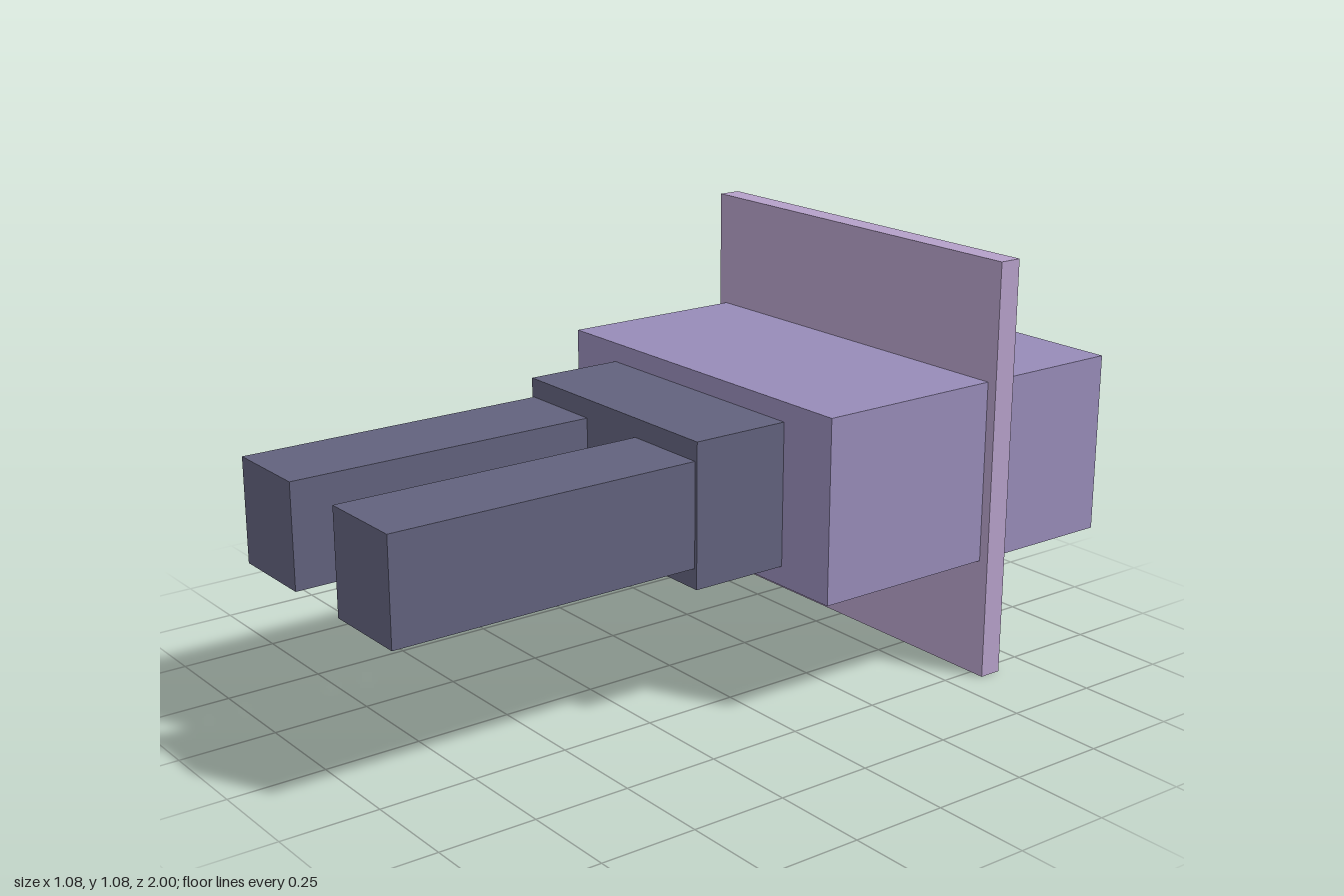
import * as THREE from 'three';

const lavender = new THREE.MeshStandardMaterial({ name: 'lavender', color: 0x978bb8 });
const lilac = new THREE.MeshStandardMaterial({ name: 'lilac', color: 0xb5a0c9 });
const slate = new THREE.MeshStandardMaterial({ name: 'slate', color: 0x62627d });

// Box given by its lower and upper corners
function block(name, material, [x0, y0, z0], [x1, y1, z1]) {
  const mesh = new THREE.Mesh(new THREE.BoxGeometry(x1 - x0, y1 - y0, z1 - z0), material);
  mesh.position.set((x0 + x1) / 2, (y0 + y1) / 2, (z0 + z1) / 2);
  mesh.name = name;
  return mesh;
}

export function createModel() {
  const model = new THREE.Group();
  model.name = 'model';

  // Main body, upright plate around it and collar in front
  model.add(
    block('body', lavender, [-0.513, 0.308, -1], [0.513, 0.775, -0.082]),
    block('plate', lilac, [-0.54, 0, -0.65], [0.54, 1.08, -0.59]),
    block('collar', slate, [-0.343, 0.358, -0.082], [0.343, 0.725, 0.18]),
  );

  // Pair of forward prongs
  for (const [name, side] of [['leftProng', 1], ['rightProng', -1]]) {
    const prong = block(name, slate, [0.1, 0.41, 0.18], [0.335, 0.676, 1]);
    prong.position.x *= side;
    model.add(prong);
  }
  return model;
}
